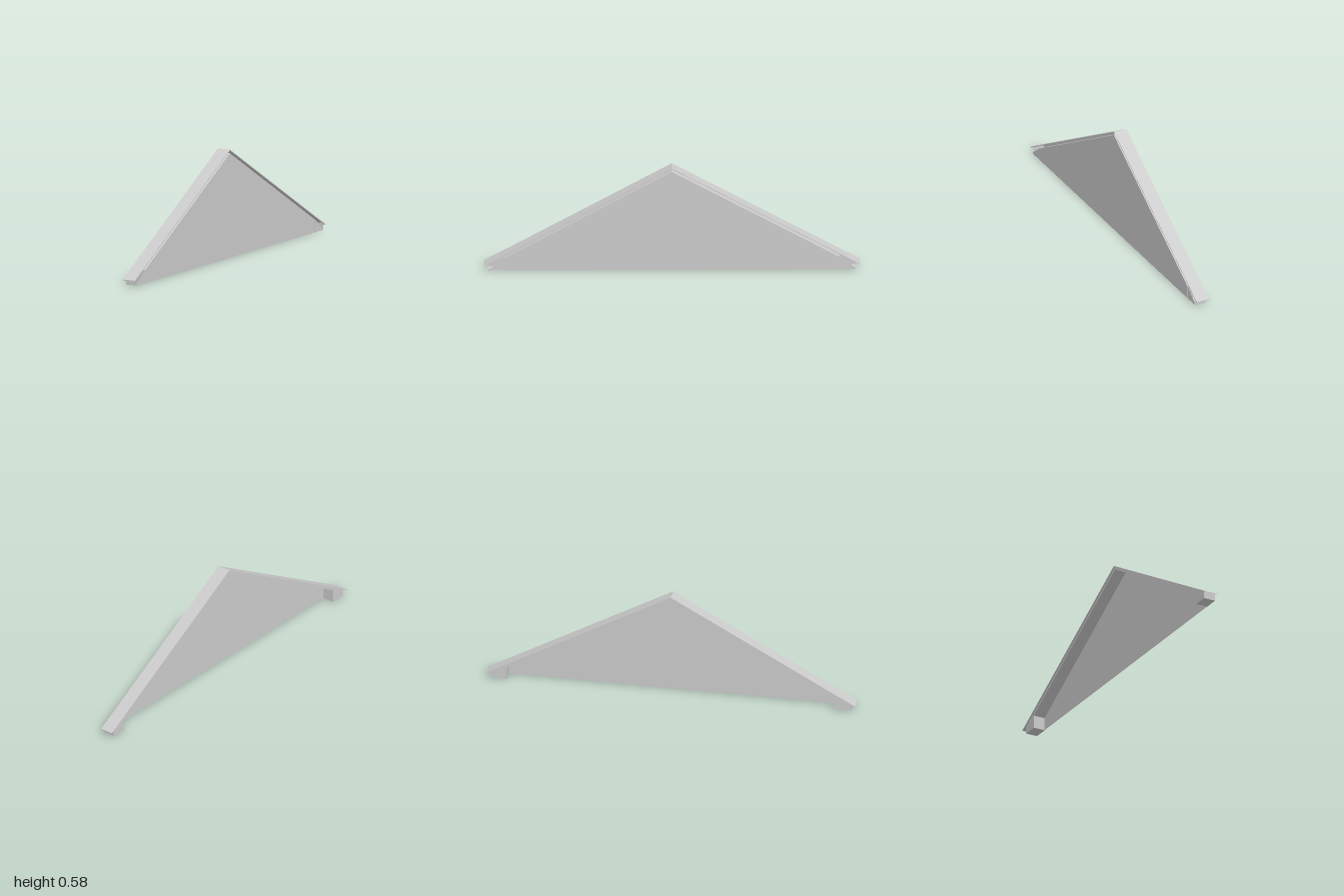
import * as THREE from 'three';

const OUT = -0.03, IN = 0.037, SLOPE = 0.555;
const ROOF_UNDER = 0.58, SOFFIT = 0.565;
const slopeY = (peak, z) => peak - SLOPE * Math.abs(z);

export function createModel() {
  const group = new THREE.Group();
  const paint = new THREE.MeshStandardMaterial({ color: 0xcccccc, side: THREE.DoubleSide });
  paint.name = 'paleGrey';

  const add = (name, geometry) => {
    const mesh = new THREE.Mesh(geometry, paint);
    mesh.name = name;
    group.add(mesh);
    return mesh;
  };
  const toShape = pts => new THREE.Shape(pts.map(([z, y]) => new THREE.Vector2(z, y)));

  // Flat sheet in the z-y plane, facing +x or -x
  const sheet = (name, pts, x, facing) => {
    const g = new THREE.ShapeGeometry(toShape(pts.map(([z, y]) => [-facing * z, y])));
    g.rotateY(facing * Math.PI / 2);
    g.translate(x, 0, 0);
    return add(name, g);
  };

  // Creased ribbon following z-y points across the depth of the eave
  const ribbon = (name, pts) => {
    const v = [];
    for (let i = 0; i < pts.length - 1; i++) {
      const [z0, y0] = pts[i], [z1, y1] = pts[i + 1];
      v.push(OUT, y0, z0, OUT, y1, z1, IN, y1, z1, OUT, y0, z0, IN, y1, z1, IN, y0, z0);
    }
    const g = new THREE.BufferGeometry();
    g.setAttribute('position', new THREE.Float32BufferAttribute(v, 3));
    g.computeVertexNormals();
    return add(name, g);
  };

  // Thin folded roof
  const roof = new THREE.ExtrudeGeometry(toShape([
    [-1, 0.025], [0, ROOF_UNDER], [1, 0.025], [1, 0.03], [0, 0.585], [-1, 0.03],
  ]), { depth: 2 * IN, bevelEnabled: false });
  roof.rotateY(-Math.PI / 2);
  roof.translate(IN, 0, 0);
  add('roof', roof);

  // Gable wall with clipped corners
  sheet('gableWall', [
    [-0.975, 0], [0.975, 0], [0.975, 0.008], [0.9, slopeY(SOFFIT, 0.9)],
    [0, SOFFIT], [-0.9, slopeY(SOFFIT, 0.9)], [-0.975, 0.008],
  ], IN - 0.001, 1);

  // Soffit below the roof and rake board on the outer edge
  const end = 0.89;
  ribbon('soffit', [[-end, slopeY(SOFFIT, end)], [0, SOFFIT], [end, slopeY(SOFFIT, end)]]);
  const tip = 0.975;
  sheet('rakeBoard', [
    [-tip, slopeY(SOFFIT, tip)], [0, SOFFIT], [tip, slopeY(SOFFIT, tip)],
    [tip, slopeY(ROOF_UNDER, tip)], [0, ROOF_UNDER], [-tip, slopeY(ROOF_UNDER, tip)],
  ], OUT, -1);

  // Hollow eave returns at both ends, open towards the building
  for (const s of [1, -1]) {
    ribbon('eaveReturn', [
      [s * end, slopeY(SOFFIT, end)], [s * end, 0], [s * tip, 0], [s * tip, slopeY(ROOF_UNDER, tip)],
    ]);
    sheet('eaveReturnSide', [
      [s * end, 0], [s * tip, 0], [s * tip, slopeY(SOFFIT, tip)], [s * end, slopeY(SOFFIT, end)],
    ], OUT, -1);
  }
  return group;
}
